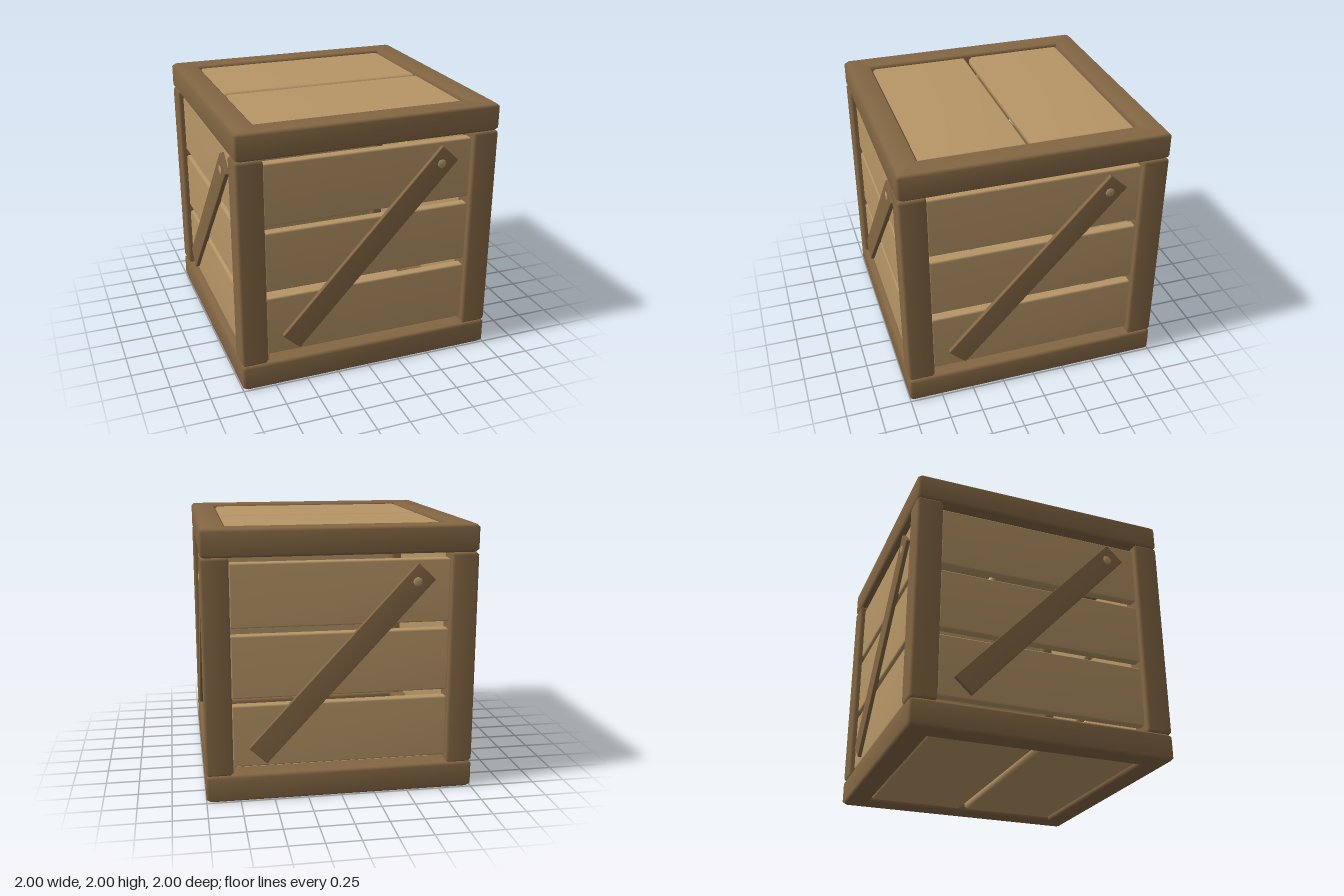
import * as THREE from 'three';
import { mergeVertices } from 'three/addons/utils/BufferGeometryUtils.js';
import { ConvexGeometry } from 'three/addons/geometries/ConvexGeometry.js';

// Box with chamfered edges and corners, shaded smoothly
function bevelBox(w, h, d, b) {
  const pts = [];
  for (const sx of [-1, 1]) for (const sy of [-1, 1]) for (const sz of [-1, 1]) {
    const [x, y, z] = [w / 2, h / 2, d / 2];
    pts.push(
      new THREE.Vector3(sx * x, sy * (y - b), sz * (z - b)),
      new THREE.Vector3(sx * (x - b), sy * y, sz * (z - b)),
      new THREE.Vector3(sx * (x - b), sy * (y - b), sz * z));
  }
  const hull = new ConvexGeometry(pts);
  hull.deleteAttribute('normal');
  const geo = mergeVertices(hull);
  geo.computeVertexNormals();
  return geo;
}

// Square ring: a chamfered square profile swept around the four corners
function frameRing(inner, outer, h, b) {
  const profile = [
    [inner + b, 0], [outer - b, 0], [outer, b], [outer, h - b],
    [outer - b, h], [inner + b, h], [inner, h - b], [inner, b]];
  const pos = [], index = [];
  for (let k = 0; k < 4; k++) for (let j = 0; j < 2; j++) for (const [r, y] of profile) {
    const c = b * (r - inner) / (outer - inner);
    let [x, z] = j ? [r - c, r] : [r, r - c];
    for (let i = 0; i < k; i++) [x, z] = [-z, x];
    pos.push(x, y, z);
  }
  for (let u = 0; u < 8; u++) for (let v = 0; v < 8; v++) {
    const u2 = (u + 1) % 8, v2 = (v + 1) % 8;
    const a = u * 8 + v, up = u * 8 + v2, next = u2 * 8 + v, diag = u2 * 8 + v2;
    index.push(a, up, next, up, diag, next);
  }
  const geo = new THREE.BufferGeometry();
  geo.setAttribute('position', new THREE.Float32BufferAttribute(pos, 3));
  geo.setIndex(index);
  geo.computeVertexNormals();
  return geo;
}

export function createModel() {
  const crate = new THREE.Group();
  crate.name = 'crate';
  const darkWood = new THREE.MeshStandardMaterial({ color: 0x846744 });
  darkWood.name = 'darkWood';
  const lightWood = new THREE.MeshStandardMaterial({ color: 0xb79667 });
  lightWood.name = 'lightWood';

  const add = (parent, name, geo, mat, x, y, z) => {
    const mesh = new THREE.Mesh(geo, mat);
    mesh.name = name;
    mesh.position.set(x, y, z);
    parent.add(mesh);
    return mesh;
  };

  // Top and bottom frames
  const ring = frameRing(0.805, 1, 0.2, 0.02);
  add(crate, 'bottomFrame', ring, darkWood, 0, 0, 0);
  add(crate, 'topFrame', ring, darkWood, 0, 1.8, 0);

  // Lid and floor boards
  const board = bevelBox(1.61, 0.08, 0.79, 0.022);
  for (const z of [-0.412, 0.408]) {
    add(crate, 'lidBoard', board, lightWood, 0, 1.945, z);
    add(crate, 'floorBoard', board, lightWood, 0, 0.055, z);
  }

  // Four identical sides, each with one corner post
  const post = bevelBox(0.2, 1.6, 0.2, 0.02);
  const plank = bevelBox(1.6, 0.465, 0.08, 0.012);
  const brace = bevelBox(1.815, 0.178, 0.04, 0.006);
  const nail = new THREE.SphereGeometry(0.036, 8, 4, 0, Math.PI * 2, 0, Math.PI / 2);
  nail.scale(1, 0.25, 1).rotateX(Math.PI / 2);
  for (let k = 0; k < 4; k++) {
    const side = new THREE.Group();
    side.name = 'side';
    side.rotation.y = k * Math.PI / 2;
    add(side, 'cornerPost', post, darkWood, 0.9, 1, 0.9);
    for (let i = 0; i < 3; i++) {
      add(side, 'sidePlank', plank, lightWood, 0, 0.485 + i * 0.519, 0.92);
    }
    // Diagonal brace with its nail
    add(side, 'brace', brace, darkWood, 0, 1.005, 0.972).rotation.z = 0.822;
    add(side, 'nail', nail, lightWood, 0.548, 1.595, 0.991);
    crate.add(side);
  }
  return crate;
}
